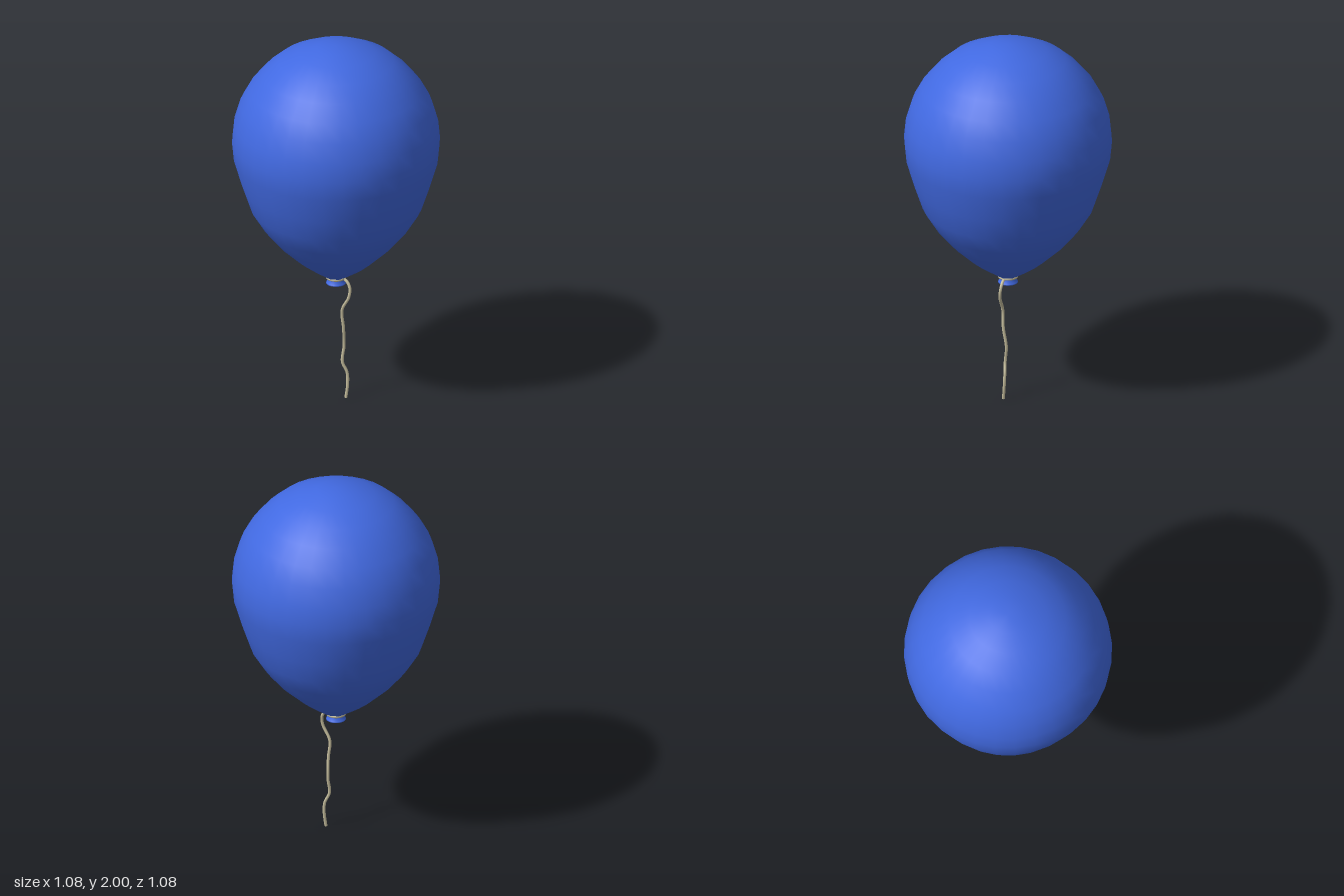
import * as THREE from 'three';
import { mergeVertices } from 'three/addons/utils/BufferGeometryUtils.js';

const rubber = new THREE.MeshStandardMaterial({ color: 0x4169e1, side: THREE.DoubleSide });
const twine = new THREE.MeshStandardMaterial({ color: 0xc4bc9c });

function addMesh(group, name, geometry, material) {
  const mesh = new THREE.Mesh(geometry, material);
  mesh.name = name;
  group.add(mesh);
  return mesh;
}

// Lathe of [radius, height] pairs, listed from bottom to top
const lathe = (pairs, sides) =>
  new THREE.LatheGeometry(pairs.map(([r, y]) => new THREE.Vector2(r, y)), sides);

// Balloon skin, gathered into shallow pleats towards the neck
function bodyGeometry() {
  let geo = lathe([
    [0.036, 0.675], [0.055, 0.685], [0.1, 0.715], [0.15, 0.75], [0.2, 0.79], [0.3, 0.884],
    [0.38, 0.98], [0.445, 1.085], [0.487, 1.21], [0.53, 1.355], [0.54, 1.46], [0.53, 1.56],
    [0.499, 1.665], [0.45, 1.755], [0.38, 1.84], [0.3, 1.91], [0.2, 1.96], [0.1, 1.99], [0, 2],
  ], 32);
  const p = geo.attributes.position;
  for (let i = 0; i < p.count; i++) {
    const x = p.getX(i), y = p.getY(i), z = p.getZ(i);
    const fade = Math.min(1, Math.max(0, (0.8 - y) / 0.09));
    const s = 1 + 0.05 * fade * Math.cos(8 * Math.atan2(z, x));
    p.setXYZ(i, x * s, y, z * s);
  }
  // Weld the seam so that the shading stays smooth
  geo.deleteAttribute('uv');
  geo.deleteAttribute('normal');
  geo = mergeVertices(geo, 1e-4);
  geo.computeVertexNormals();
  return geo;
}

export function createModel() {
  const balloon = new THREE.Group();
  balloon.name = 'balloon';

  addMesh(balloon, 'body', bodyGeometry(), rubber);

  // Flared, hollow lip below the knot
  addMesh(balloon, 'lip', lathe([
    [0, 0.668], [0.025, 0.66], [0.036, 0.645], [0.046, 0.64],
    [0.052, 0.643], [0.05, 0.648], [0.04, 0.662], [0.038, 0.682],
  ], 24), rubber);

  // Twine wrapped around the neck
  const tie = addMesh(balloon, 'tie', new THREE.TorusGeometry(0.045, 0.009, 8, 32), twine);
  tie.rotation.x = Math.PI / 2;
  tie.position.y = 0.678;

  // Hanging string
  const path = new THREE.CatmullRomCurve3([
    [0.043, 0.678, 0], [0.068, 0.662, 0], [0.084, 0.63, 0.002], [0.08, 0.58, 0.007],
    [0.042, 0.5, 0.01], [0.047, 0.4, 0.004], [0.042, 0.29, -0.011], [0.037, 0.2, -0.002],
    [0.06, 0.14, -0.011], [0.064, 0.08, -0.01], [0.058, 0, -0.002],
  ].map((p) => new THREE.Vector3(...p)));
  addMesh(balloon, 'string', new THREE.TubeGeometry(path, 80, 0.008, 8), twine);
  const end = addMesh(balloon, 'stringEnd', new THREE.CircleGeometry(0.008, 8), twine);
  end.rotation.x = Math.PI / 2;
  end.position.set(0.058, 0, -0.002);

  return balloon;
}
